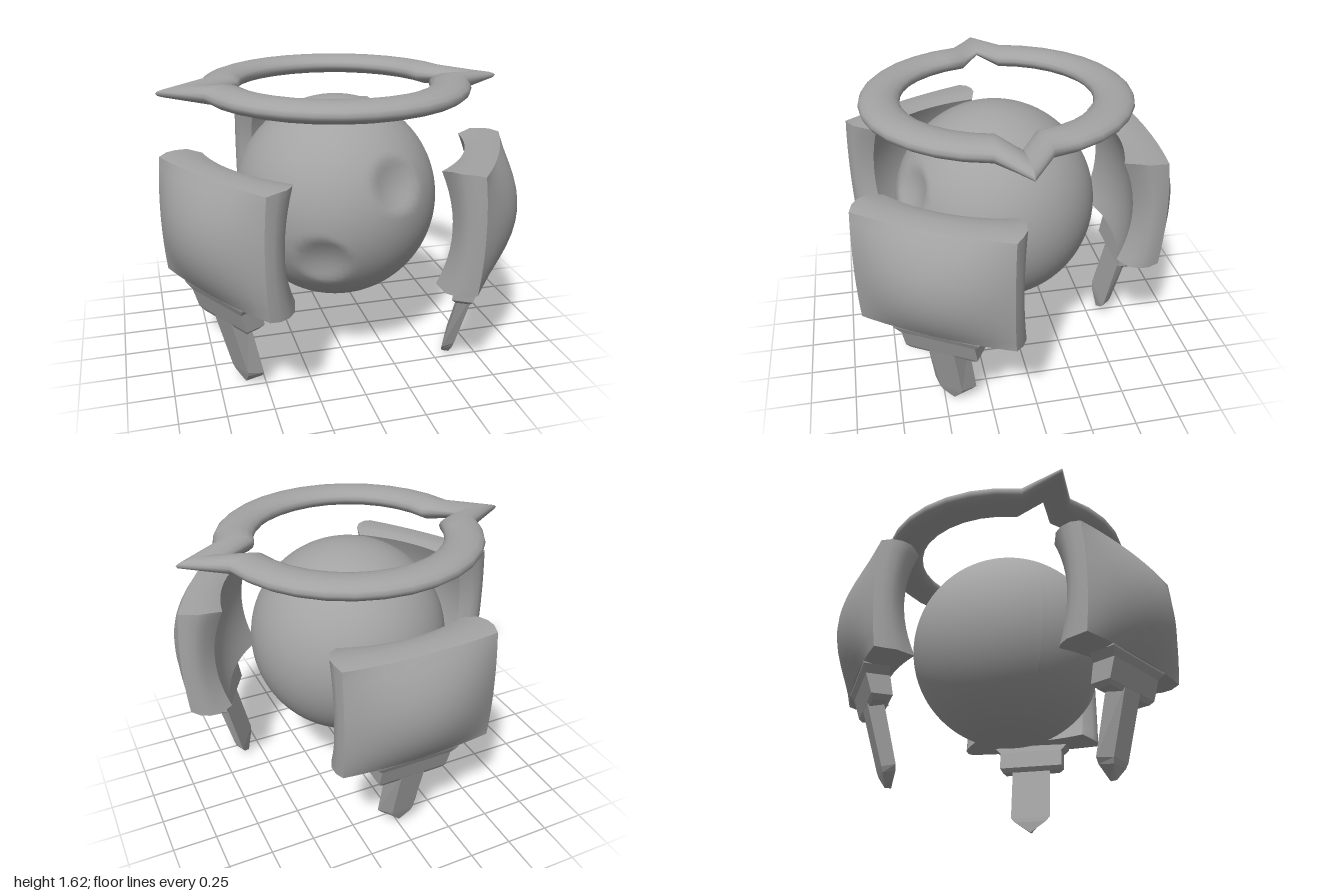
import * as THREE from 'three';

const grey = new THREE.MeshStandardMaterial({ color: 0xa3a3a3 });
grey.name = 'grey';

// Skin a list of equal-length closed sections
function loft(sections, flat) {
  const n = sections[0].length;
  const pos = sections.flat().flatMap((p) => [p.x, p.y, p.z]);
  const index = [];
  for (let i = 0; i < sections.length - 1; i++) {
    for (let j = 0; j < n; j++) {
      const k = (j + 1) % n;
      const a = i * n + j, b = i * n + k, c = b + n, d = a + n;
      index.push(a, b, c, a, c, d);
    }
  }
  let geo = new THREE.BufferGeometry();
  geo.setAttribute('position', new THREE.Float32BufferAttribute(pos, 3));
  geo.setIndex(index);
  if (flat) geo = geo.toNonIndexed();
  geo.computeVertexNormals();
  return geo;
}

function part(name, geo, parent) {
  const mesh = new THREE.Mesh(geo, grey);
  mesh.name = name;
  parent.add(mesh);
  return mesh;
}

// Ball with two shallow round dents on its front
function bodyGeometry() {
  const R = 0.57;
  const geo = new THREE.SphereGeometry(R, 96, 64);
  const dents = [[-0.2, -0.19], [0.2, 0.2]].map(([x, y]) =>
    new THREE.Vector3(x, y, Math.sqrt(R * R - x * x - y * y)));
  const pos = geo.attributes.position;
  const p = new THREE.Vector3();
  for (let i = 0; i < pos.count; i++) {
    p.fromBufferAttribute(pos, i);
    for (const c of dents) {
      const d = p.distanceTo(c) / 0.15;
      if (d < 1) p.multiplyScalar(1 - 0.085 * (1 - d * d));
    }
    pos.setXYZ(i, p.x, p.y, p.z);
  }
  geo.computeVertexNormals();
  return geo;
}

// Flattened ring, pulled out into a thin point on each side
function haloGeometry() {
  const sections = [];
  const N = 32, M = 16;
  for (let i = 0; i <= N; i++) {
    const a = (i / N) * Math.PI * 2;
    const spike = i % (N / 2) === 0;
    const r = spike ? 0.815 : 0.63;
    const w = spike ? 0.145 : 0.11;
    const h = spike ? 0.03 : 0.055;
    const ring = [];
    for (let j = 0; j < M; j++) {
      const t = (j / M) * Math.PI * 2;
      const d = r + w * Math.cos(t);
      ring.push(new THREE.Vector3(d * Math.cos(a), h * Math.sin(t), d * Math.sin(a)));
    }
    sections.push(ring);
  }
  return loft(sections, false);
}

// Thick curved plate: a box bulged outside and hollowed inside
function plateGeometry() {
  const W = [0.36, 0.42, 0.445, 0.445, 0.43];
  const H = [0.31, 0.33, 0.33, 0.33, 0.32];
  const geo = new THREE.BoxGeometry(2, 2, 2, 12, 12, 4);
  const pos = geo.attributes.position;
  for (let i = 0; i < pos.count; i++) {
    const u = pos.getX(i), v = pos.getY(i), w = pos.getZ(i);
    const k = Math.round((w + 1) * 2);
    const bu = 1 - u * u, bv = 1 - v * v;
    const inner = 0.645 + 0.07 * bv + 0.07 * bu;
    const outer = 0.87 + 0.02 * bv + bu * (0.03 + 0.1 * bv);
    pos.setXYZ(i, u * W[k], v * H[k], THREE.MathUtils.lerp(inner, outer, k / 4));
  }
  geo.computeVertexNormals();
  return geo;
}

// Four-cornered section: height, outer and inner half widths, inner and outer depth
function section([y, wo, wi, zi, zo]) {
  return [[wo, zo], [-wo, zo], [-wi, zi], [wi, zi]].map(([x, z]) => new THREE.Vector3(x, y, z));
}

export function createModel() {
  const model = new THREE.Group();
  model.name = 'hoveringMachine';

  part('body', bodyGeometry(), model).position.set(0, 0.935, 0.1);
  part('halo', haloGeometry(), model).position.set(0, 1.565, 0.08);

  const plate = plateGeometry();
  const bracket = loft([
    [-0.28, 0.24, 0.24, 0.75, 0.9],
    [-0.33, 0.24, 0.24, 0.75, 0.89],
    [-0.37, 0.205, 0.205, 0.74, 0.87],
    [-0.48, 0.205, 0.205, 0.72, 0.835],
    [-0.505, 0.18, 0.18, 0.74, 0.82],
    [-0.505, 0, 0, 0.78, 0.78],
  ].map(section), true);
  const foot = loft([
    [-0.46, 0.07, 0.125, 0.76, 0.84],
    [-0.83, 0.065, 0.125, 0.67, 0.735],
    [-0.86, 0.055, 0.1, 0.665, 0.725],
    [-0.925, 0.003, 0.003, 0.665, 0.70],
    [-0.925, 0, 0, 0.68, 0.68],
  ].map(section), true);

  // Three plated legs set evenly around the body
  const legs = [['leftLeg', Math.PI / 3, 0.93], ['rightLeg', -Math.PI / 3, 0.93], ['backLeg', Math.PI, 0.965]];
  for (const [name, angle, y] of legs) {
    const leg = new THREE.Group();
    leg.name = name;
    leg.position.set(0, y, 0.1);
    leg.rotation.y = angle;
    part('plate', plate, leg);
    part('bracket', bracket, leg);
    part('foot', foot, leg);
    model.add(leg);
  }
  return model;
}
